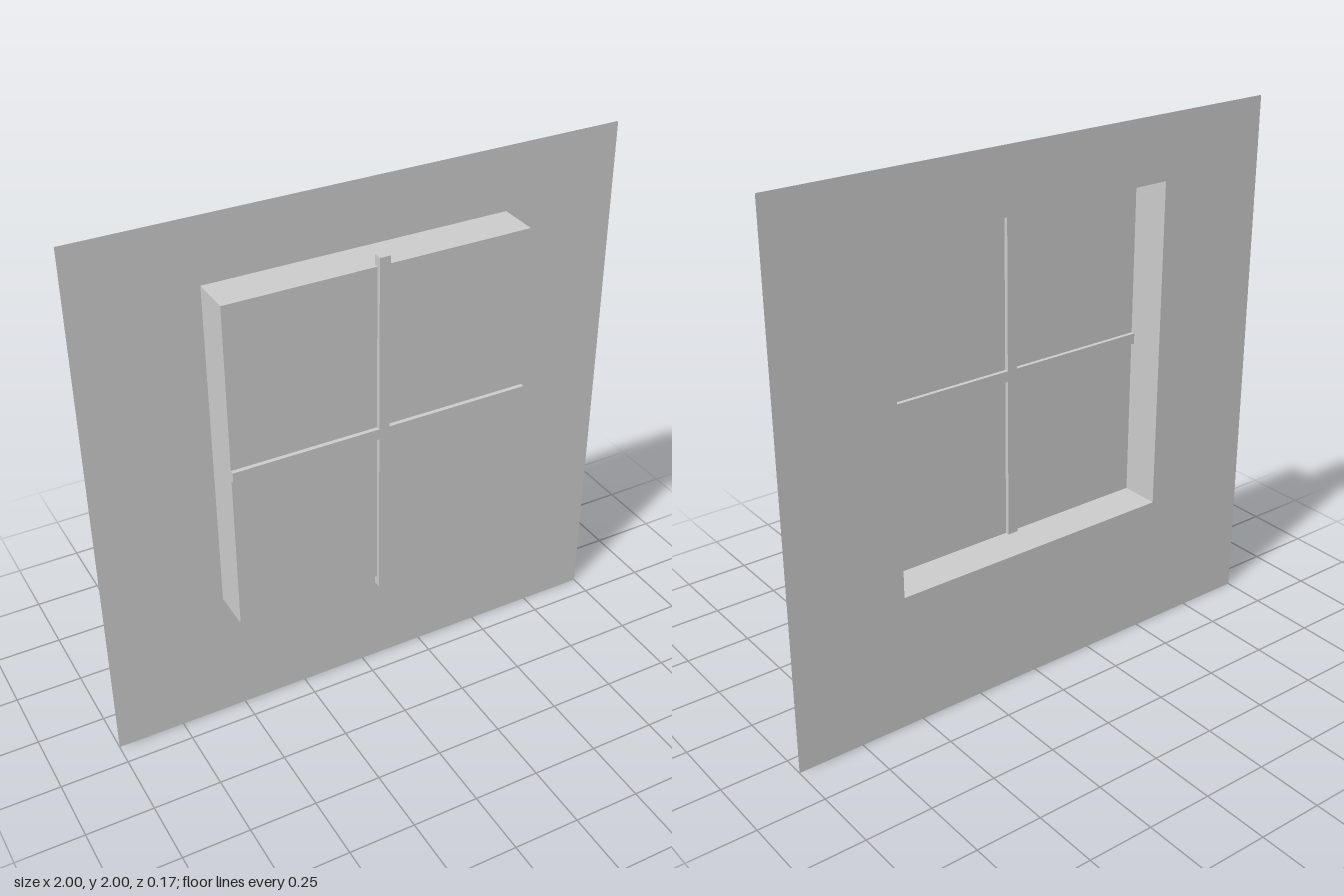
import * as THREE from 'three';

const HALF_W = 0.56, BOTTOM = 0.518, TOP = 1.764; // window opening
const BACK = -0.083, PANE = 0.067, FRONT = 0.083; // depths along z
const MID = (BOTTOM + TOP) / 2;

const corners = (x, y0, y1) => [[-x, y0], [x, y0], [x, y1], [-x, y1]].map(p => new THREE.Vector2(...p));

export function createModel() {
  const group = new THREE.Group();
  const grey = new THREE.MeshStandardMaterial({ color: 0xcccccc, side: THREE.DoubleSide });
  grey.name = 'plain grey';

  const add = (name, geometry, x = 0, y = 0, z = 0) => {
    const mesh = new THREE.Mesh(geometry, grey);
    mesh.name = name;
    mesh.position.set(x, y, z);
    group.add(mesh);
    return mesh;
  };

  // Thin square wall with the window opening cut out
  const wall = new THREE.Shape(corners(1, 0, 2));
  wall.holes.push(new THREE.Path(corners(HALF_W, BOTTOM, TOP)));
  add('wall', new THREE.ShapeGeometry(wall), 0, 0, BACK);

  // Pane closing the front of the bay
  add('pane', new THREE.PlaneGeometry(2 * HALF_W, TOP - BOTTOM), 0, MID, PANE);

  // Four sheets joining the wall to the pane
  const depth = PANE - BACK, zMid = (PANE + BACK) / 2;
  for (const side of [-1, 1]) {
    const jamb = add(side > 0 ? 'leftJamb' : 'rightJamb',
      new THREE.PlaneGeometry(depth, TOP - BOTTOM), side * HALF_W, MID, zMid);
    jamb.rotation.y = side * Math.PI / 2;
    const ledge = add(side > 0 ? 'head' : 'sill',
      new THREE.PlaneGeometry(2 * HALF_W, depth), 0, side > 0 ? TOP : BOTTOM, zMid);
    ledge.rotation.x = -side * Math.PI / 2;
  }

  // Cross of glazing bars, running through the pane
  const r = 0.02, h = 0.66, w = HALF_W + 0.001;
  const cross = new THREE.Shape([
    [r, -h], [r, -r], [w, -r], [w, r], [r, r], [r, h],
    [-r, h], [-r, r], [-w, r], [-w, -r], [-r, -r], [-r, -h],
  ].map(p => new THREE.Vector2(...p)));
  const barBack = 0.052;
  add('glazingBars', new THREE.ExtrudeGeometry(cross, { depth: FRONT - barBack, bevelEnabled: false }), 0, MID, barBack);

  return group;
}
